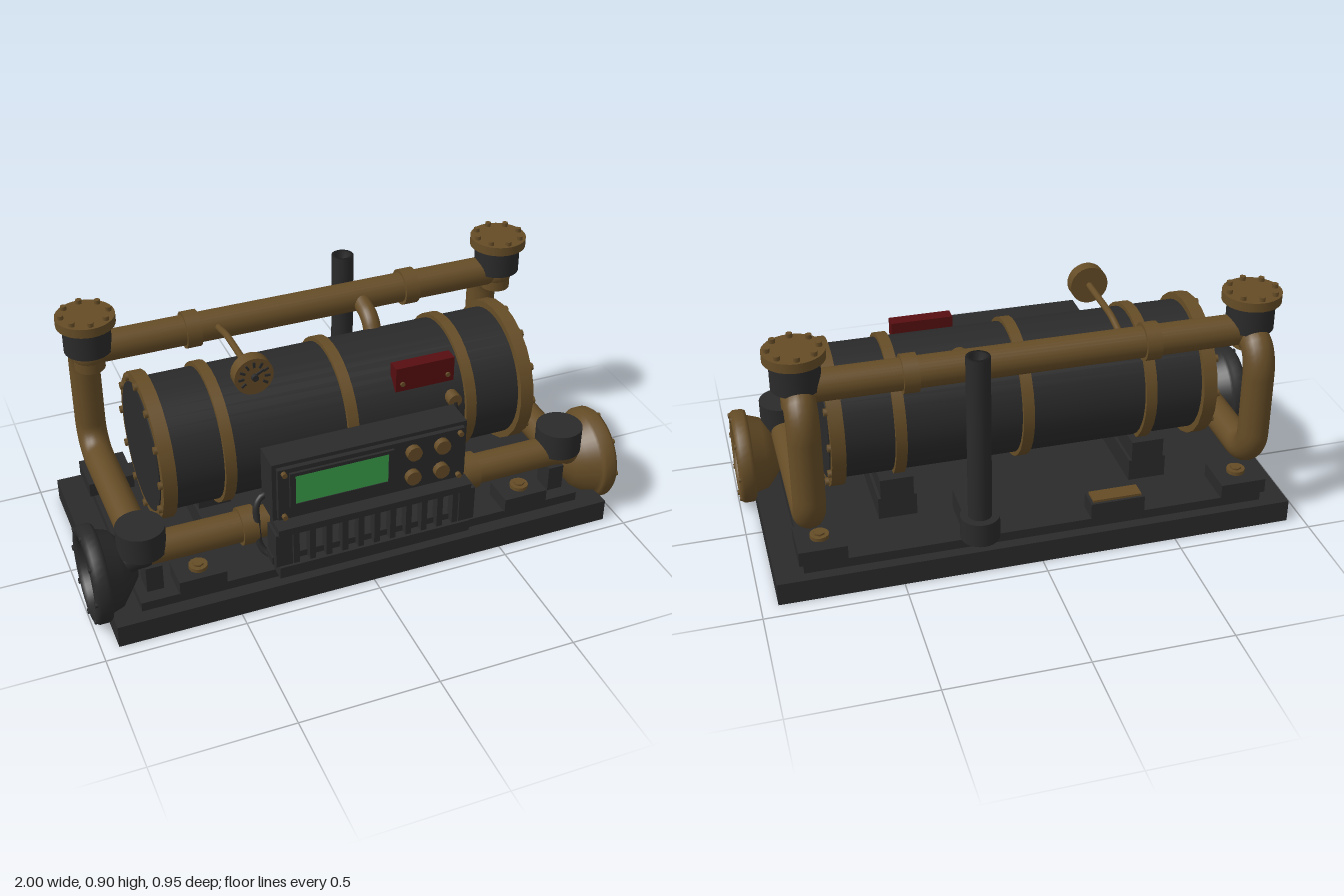
import * as THREE from 'three';

const mat = (name, color, extra = {}) => {
  const m = new THREE.MeshStandardMaterial({ color, ...extra });
  m.name = name;
  return m;
};

export function createModel() {
  const brass = mat('brass', 0x654c26, { side: THREE.DoubleSide });
  const iron = mat('dark iron', 0x2a2a2a, { side: THREE.DoubleSide });
  const red = mat('red paint', 0x560e10);
  const green = mat('green screen', 0x389f4a);
  const model = new THREE.Group();

  const add = (name, geo, material, x = 0, y = 0, z = 0) => {
    const mesh = new THREE.Mesh(geo, material);
    mesh.name = name;
    mesh.position.set(x, y, z);
    model.add(mesh);
    return mesh;
  };
  // Box given by its limits on each axis
  const box = (name, m, x0, x1, y0, y1, z0, z1) =>
    add(name, new THREE.BoxGeometry(x1 - x0, y1 - y0, z1 - z0), m, (x0 + x1) / 2, (y0 + y1) / 2, (z0 + z1) / 2);
  // Cylinder along a chosen axis
  const cyl = (name, m, axis, r, len, x, y, z, seg = 28) => {
    const g = new THREE.CylinderGeometry(r, r, len, seg);
    if (axis === 'x') g.rotateZ(Math.PI / 2);
    if (axis === 'z') g.rotateX(Math.PI / 2);
    return add(name, g, m, x, y, z);
  };
  // Tube along straight runs with rounded corners
  const pipe = (name, m, r, bend, pts, seg = 48) => {
    const p = pts.map((a) => new THREE.Vector3(...a));
    const path = new THREE.CurvePath();
    let last = p[0];
    for (let i = 1; i < p.length - 1; i++) {
      const toward = (q) => p[i].clone().add(q.clone().sub(p[i]).setLength(Math.min(bend, q.distanceTo(p[i]) * 0.49)));
      const a = toward(p[i - 1]), b = toward(p[i + 1]);
      path.add(new THREE.LineCurve3(last, a));
      // Cubic handles keep the bend close to a circular arc
      path.add(new THREE.CubicBezierCurve3(a, a.clone().lerp(p[i], 0.55), b.clone().lerp(p[i], 0.55), b));
      last = b;
    }
    path.add(new THREE.LineCurve3(last, p[p.length - 1]));
    return add(name, new THREE.TubeGeometry(path, seg, r, 20), m);
  };

  // Base and raised deck
  box('base', iron, -0.94, 0.94, 0, 0.085, -0.44, 0.45);
  box('deck', iron, -0.84, 0.84, 0.085, 0.12, -0.4, 0.4);

  // Tank with bands
  const ty = 0.475;
  cyl('tankBody', iron, 'x', 0.24, 1.36, 0, ty, 0, 40);
  for (const x of [-0.455, 0, 0.455]) cyl('tankBand', brass, 'x', 0.256, 0.04, x, ty, 0, 32);

  // Upper and lower cross pipes
  cyl('upperPipe', brass, 'x', 0.056, 1.6, 0, 0.74, -0.27);
  cyl('lowerPipe', brass, 'x', 0.056, 1.6, 0, 0.265, 0.3);
  pipe('tankOutlet', brass, 0.033, 0.03, [[0.225, 0.65, -0.11], [0.225, 0.715, -0.15], [0.225, 0.74, -0.25]], 16);

  for (const s of [-1, 1]) {
    // Tank end flange, cap and bolts
    cyl('endFlange', brass, 'x', 0.266, 0.05, s * 0.675, ty, 0, 24);
    cyl('endCap', iron, 'x', 0.232, 0.008, s * 0.7, ty, 0, 40);
    for (let i = 0; i < 12; i++) {
      const a = (i * Math.PI) / 6;
      cyl('endBolt', brass, 'x', 0.014, 0.02, s * 0.702, ty + 0.247 * Math.cos(a), 0.247 * Math.sin(a), 8);
    }

    // Pipe collars
    cyl('upperCollar', brass, 'x', 0.068, 0.055, s * 0.425, 0.74, -0.27);
    cyl('lowerCollar', brass, 'x', 0.068, 0.055, s * 0.425, 0.265, 0.3);

    // Capped upper joint
    const x = s * 0.8;
    cyl('upperJoint', iron, 'y', 0.085, 0.1, x, 0.795, -0.265, 32);
    cyl('jointNeck', brass, 'y', 0.055, 0.12, x, 0.73, -0.265);
    cyl('jointFlange', brass, 'y', 0.105, 0.034, x, 0.866, -0.265, 32);
    for (let i = 0; i < 8; i++) {
      const a = (i * Math.PI) / 4;
      cyl('jointBolt', brass, 'y', 0.011, 0.016, x + 0.085 * Math.cos(a), 0.89, -0.265 + 0.085 * Math.sin(a), 8);
    }
    add('jointElbow', new THREE.SphereGeometry(0.06, 20, 14), brass, x, 0.73, -0.265);

    // Side pipe running down and forward
    pipe('sidePipe', brass, 0.056, 0.11, [[x, 0.715, -0.25], [x, 0.715, -0.375], [x, 0.265, -0.375], [x, 0.265, 0.3]], 64);
    cyl('lowerJoint', iron, 'y', 0.085, 0.1, x, 0.322, 0.3, 32);
    add('lowerElbow', new THREE.SphereGeometry(0.06, 20, 14), s > 0 ? brass : iron, x, 0.265, 0.3);

    // Flared port with a thick rim
    const m = s > 0 ? brass : iron;
    const profile = [[0.05, 0.82], [0.1, 0.86], [0.135, 0.89], [0.15, 0.935], [0.168, 0.938], [0.175, 0.95], [0.175, 0.982],
      [0.166, 0.995], [0.145, 0.997], [0.125, 0.985], [0.12, 0.95], [0.105, 0.91], [0.07, 0.88], [0, 0.865]];
    const port = new THREE.LatheGeometry(profile.map(([r, h]) => new THREE.Vector2(r, h)), 40);
    port.rotateZ((-s * Math.PI) / 2);
    add('flaredPort', port, m, 0, 0.178, 0.255);
    pipe('portElbow', m, 0.055, 0.06, [[s * 0.74, 0.265, 0.3], [s * 0.82, 0.262, 0.3], [s * 0.885, 0.215, 0.275]], 24);
    for (let i = 0; i < 8; i++) {
      const a = (i * Math.PI) / 4;
      cyl('portBolt', m, 'x', 0.01, 0.01, s * 0.995, 0.178 + 0.16 * Math.cos(a), 0.255 + 0.16 * Math.sin(a), 8);
    }

    // Tank saddles and pipe supports
    box('tankSaddle', iron, s * 0.47 - 0.06, s * 0.47 + 0.06, 0.12, 0.28, -0.2, 0.08);
    box('saddleFoot', iron, s * 0.47 - 0.07, s * 0.47 + 0.07, 0.12, 0.205, -0.2, 0.2);
    box('pipeSupport', iron, s * 0.775 - 0.03, s * 0.775 + 0.03, 0.085, 0.22, 0.27, 0.35);

    // Bolted mounting pads
    for (const [px, pz, w] of [[0.77, -0.325, 0.08], [0.62, 0.35, 0.06]]) {
      box('mountPad', iron, s * px - 0.085, s * px + 0.085, 0.12, 0.175, pz - w, pz + w);
      cyl('mountBolt', brass, 'y', 0.034, 0.014, s * px, 0.182, pz, 12);
      cyl('mountBoltHead', brass, 'y', 0.02, 0.012, s * px, 0.19, pz, 6);
    }
  }

  // Vertical exhaust, hollow at the top
  const stack = [[0.042, 0.13], [0.042, 0.845], [0.028, 0.845], [0.028, 0.76], [0, 0.76]];
  add('exhaustStack', new THREE.LatheGeometry(stack.map(([r, h]) => new THREE.Vector2(r, h)), 24), iron, 0.22, 0, -0.405);
  cyl('exhaustFoot', iron, 'y', 0.07, 0.09, 0.22, 0.175, -0.405);
  box('exhaustBracket', iron, 0.17, 0.27, 0.12, 0.2, -0.37, -0.2);

  // Rear junction box with brass lid
  box('junctionBox', iron, -0.39, -0.19, 0.12, 0.18, -0.4, -0.32);
  box('junctionLid', brass, -0.38, -0.2, 0.18, 0.189, -0.39, -0.33);

  // Pressure gauge on its feed line
  const gx = -0.335, gy = 0.778;
  pipe('gaugeLine', brass, 0.012, 0.03, [[gx, gy, 0.13], [gx, gy, -0.12], [gx, 0.75, -0.24]], 24);
  cyl('gaugeCase', brass, 'z', 0.07, 0.046, gx, gy, 0.148, 28);
  cyl('gaugeHub', iron, 'z', 0.012, 0.016, gx, gy, 0.178, 10);
  for (let i = 0; i < 9; i++) {
    const a = -0.6 + (i * (Math.PI + 1.2)) / 8;
    const tick = box('gaugeTick', iron, -0.01, 0.01, -0.004, 0.004, 0, 0.006);
    tick.position.set(gx + 0.047 * Math.cos(a), gy + 0.047 * Math.sin(a), 0.173);
    tick.rotation.z = a;
  }
  const needle = box('gaugeNeedle', iron, -0.022, 0.022, -0.004, 0.004, 0, 0.006);
  needle.position.set(gx + 0.015, gy + 0.012, 0.174);
  needle.rotation.z = 0.5;

  // Red warning box
  box('redBox', red, 0.175, 0.4, 0.61, 0.705, 0.155, 0.205);
  for (const x of [0.2, 0.375]) cyl('redBoxScrew', brass, 'z', 0.009, 0.01, x, 0.64, 0.207, 8);

  // Control cabinet with face panel
  box('cabinet', iron, -0.365, 0.355, 0.345, 0.576, 0.3, 0.41);
  box('facePanel', iron, -0.35, 0.34, 0.355, 0.562, 0.41, 0.428);
  box('screenFrameTop', iron, -0.31, 0.07, 0.532, 0.545, 0.428, 0.438);
  box('screenFrameBottom', iron, -0.31, 0.07, 0.403, 0.416, 0.428, 0.438);
  for (const x of [-0.3, 0.06]) box('screenFrameSide', iron, x - 0.01, x + 0.01, 0.416, 0.532, 0.428, 0.438);
  box('screen', green, -0.29, 0.05, 0.416, 0.532, 0.428, 0.435);
  for (const y of [0.412, 0.515]) {
    for (const x of [0.142, 0.25]) {
      cyl('knob', brass, 'z', 0.028, 0.024, x, y, 0.44, 12);
    }
  }
  for (const x of [-0.33, 0.32]) for (const y of [0.37, 0.547]) cyl('panelScrew', brass, 'z', 0.01, 0.016, x, y, 0.436, 8);

  // Cabinet brackets and cables
  for (const x of [-0.28, 0.28]) {
    box('cabinetArm', iron, x - 0.04, x + 0.04, 0.42, 0.47, 0.2, 0.31);
    pipe('cabinetStrut', iron, 0.014, 0.02, [[x, 0.35, 0.22], [x, 0.39, 0.27], [x, 0.42, 0.31]], 8);
  }
  cyl('cableSocket', brass, 'z', 0.026, 0.05, 0.385, 0.555, 0.235, 12);
  pipe('rightCable', iron, 0.012, 0.05, [[0.385, 0.55, 0.25], [0.4, 0.38, 0.27], [0.33, 0.36, 0.32]], 24);
  pipe('leftCable', iron, 0.012, 0.05, [[-0.34, 0.4, 0.32], [-0.4, 0.39, 0.33], [-0.4, 0.19, 0.36], [-0.34, 0.17, 0.4]], 24);

  // Front grille with vertical bars
  box('grilleTopRail', iron, -0.365, 0.355, 0.318, 0.345, 0.38, 0.472);
  box('grilleBottomRail', iron, -0.365, 0.355, 0.14, 0.185, 0.41, 0.475);
  box('grilleSill', iron, -0.38, 0.38, 0.18, 0.21, 0.38, 0.44);
  for (const x of [-0.345, 0.345]) box('grilleEnd', iron, x - 0.03, x + 0.03, 0.185, 0.32, 0.38, 0.465);
  for (let i = 0; i < 11; i++) {
    const x = -0.3 + i * 0.06;
    box('grilleBar', iron, x - 0.011, x + 0.011, 0.18, 0.32, 0.43, 0.465);
  }
  return model;
}
